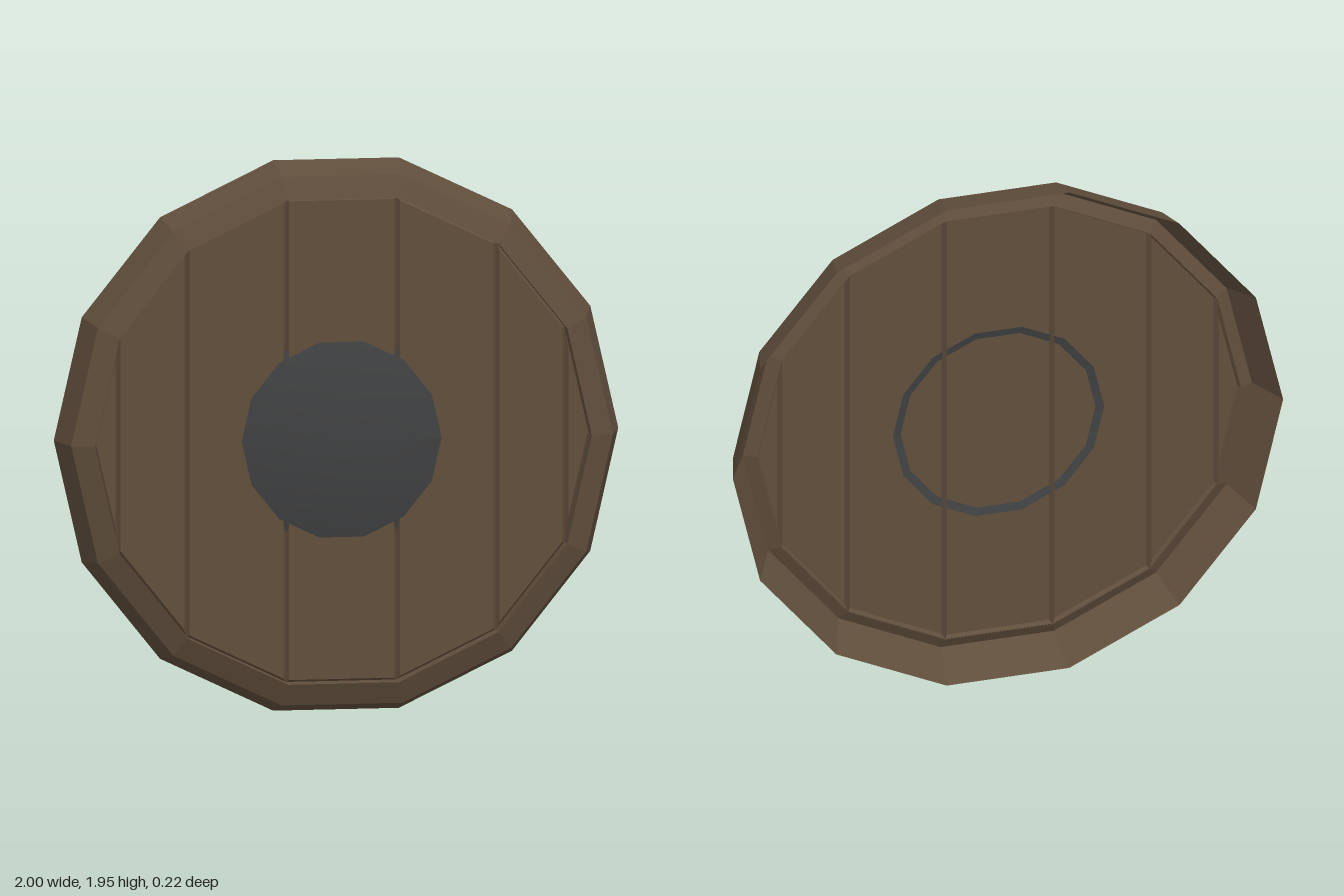
import * as THREE from 'three';

const SIDES = 14;
const INNER = 0.88; // radius where the planks meet the rim

const material = (name, color) => {
  const m = new THREE.MeshStandardMaterial({ color, side: THREE.DoubleSide });
  m.name = name;
  return m;
};

// Corner of the rim's inner edge
const corner = (i) => {
  const a = (i * 2 * Math.PI) / SIDES;
  return new THREE.Vector2(INNER * Math.cos(a), INNER * Math.sin(a));
};

// Shrinks a convex anticlockwise outline by d on every side
function inset(outline, d) {
  const n = outline.length;
  return outline.map((p, i) => {
    const e1 = p.clone().sub(outline[(i + n - 1) % n]).normalize();
    const e2 = outline[(i + 1) % n].clone().sub(p).normalize();
    return e2.clone().sub(e1).multiplyScalar(d / e1.cross(e2)).add(p);
  });
}

// Thin board: a flat face with edges folded back, so neighbours form a V groove
function plankGeometry(outline) {
  const face = inset(outline, 0.01).map((p) => [p.x, p.y, 0.021]);
  const edge = outline.map((p) => [p.x, p.y, 0.005]);
  const positions = [];
  const triangle = (a, b, c) => positions.push(...a, ...b, ...c);
  for (let i = 0; i < face.length; i++) {
    const j = (i + 1) % face.length;
    if (i > 0 && j > 0) triangle(face[0], face[i], face[j]);
    triangle(edge[i], edge[j], face[j]);
    triangle(edge[i], face[j], face[i]);
  }
  const geometry = new THREE.BufferGeometry();
  geometry.setAttribute('position', new THREE.Float32BufferAttribute(positions, 3));
  geometry.computeVertexNormals();
  return geometry;
}

// Hollow rim, flaring to the back; profile is [radius, z]
function rimGeometry() {
  const profile = [[1, -0.11], [0.96, 0.03], [INNER, 0.064], [0.878, 0.005], [0.925, 0.03], [1, -0.11]];
  const points = profile.map(([r, z]) => new THREE.Vector2(r, z));
  const geometry = new THREE.LatheGeometry(points, SIDES, Math.PI / 2).rotateX(Math.PI / 2).toNonIndexed();
  geometry.computeVertexNormals();
  return geometry;
}

// Shallow smooth cone whose edge comes out behind the planks
function bossGeometry() {
  const geometry = new THREE.CircleGeometry(0.384, SIDES);
  const position = geometry.attributes.position;
  for (let i = 0; i < position.count; i++) position.setZ(i, i === 0 ? 0.11 : 0.0135);
  geometry.computeVertexNormals();
  return geometry;
}

export function createModel() {
  const wood = material('wood', 0x604e3c);
  const iron = material('iron', 0x404142);

  const shield = new THREE.Group();
  shield.name = 'roundShield';
  shield.position.y = 0.975;

  const add = (name, geometry, mat) => {
    const mesh = new THREE.Mesh(geometry, mat);
    mesh.name = name;
    shield.add(mesh);
  };

  add('rim', rimGeometry(), wood);
  add('boss', bossGeometry(), iron);

  // Each plank spans between neighbouring corners; the two end ones are triangles
  for (let i = 0; i < SIDES / 2; i++) {
    const outline = [corner(i), corner(i + 1), corner(-i - 1), corner(-i)];
    if (i === 0) outline.pop();
    if (i === SIDES / 2 - 1) outline.splice(2, 1);
    add('plank' + (i + 1), plankGeometry(outline), wood);
  }

  const model = new THREE.Group();
  model.name = 'shieldModel';
  model.add(shield);
  return model;
}
